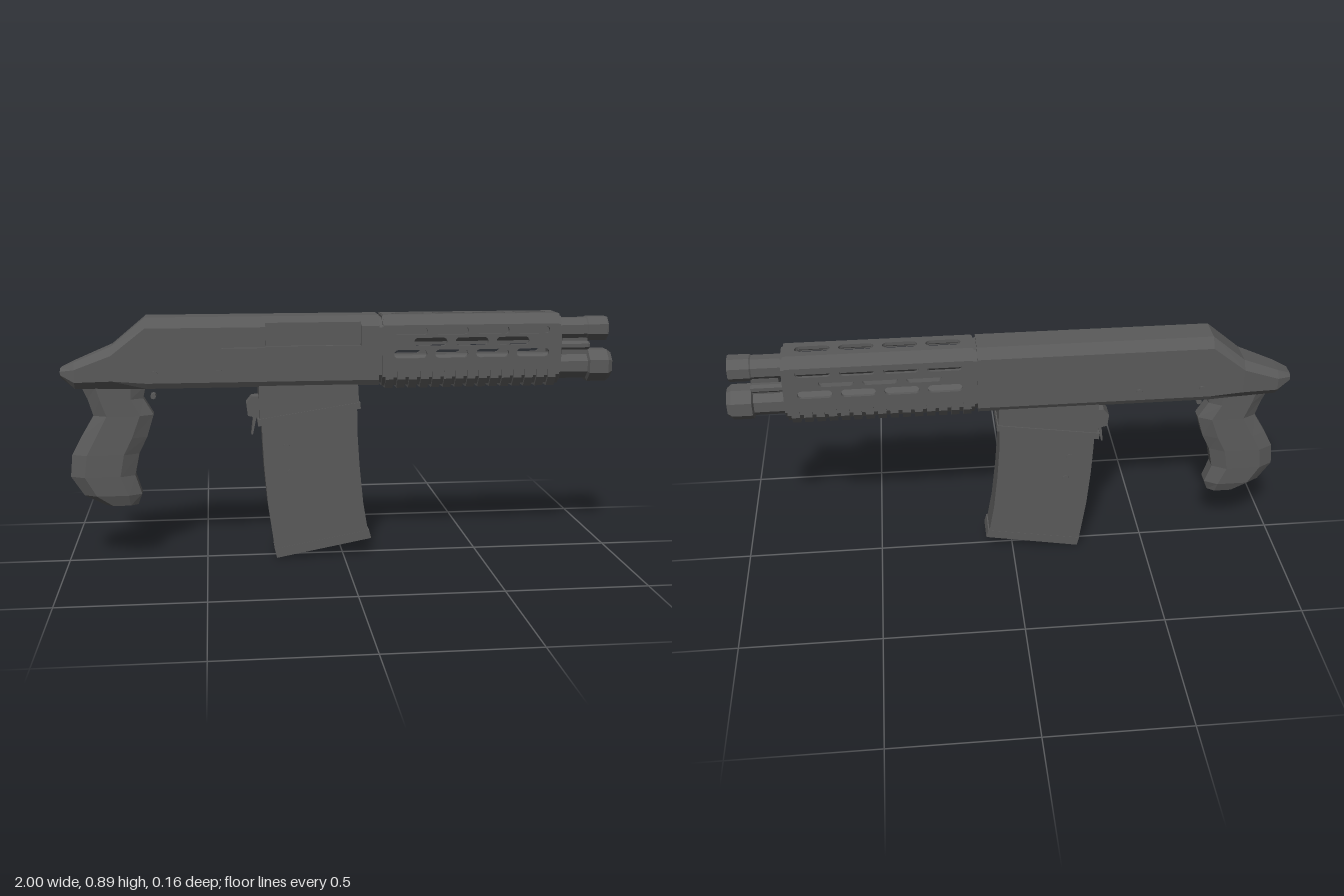
import * as THREE from 'three';

const gunmetal = new THREE.MeshStandardMaterial({ color: 0x5a5a5a, flatShading: true });
gunmetal.name = 'gunmetal';

// Closed outline from [a, b] pairs
const outline = pts => new THREE.Shape(pts.map(p => new THREE.Vector2(p[0], p[1])));

// Octagonal outline of half width w between y0 and y1, corners cut by cz and cy
const oct = (w, y0, y1, cz, cy) => [
  [w, y0 + cy], [w, y1 - cy], [w - cz, y1], [cz - w, y1],
  [-w, y1 - cy], [-w, y0 + cy], [cz - w, y0], [w - cz, y0]];

// Solid with a [-z, y] profile, running along x
function prism(pts, x0, x1) {
  const g = new THREE.ExtrudeGeometry(outline(pts), { depth: x1 - x0, bevelEnabled: false });
  return g.rotateY(Math.PI / 2).translate(x0, 0, 0);
}

// Solid with an [x, y] outline, running from z0 to z1
function slab(shape, z0, z1) {
  const s = Array.isArray(shape) ? outline(shape) : shape;
  return new THREE.ExtrudeGeometry(s, { depth: z1 - z0, bevelEnabled: false, curveSegments: 4 }).translate(0, 0, z0);
}

// Skin through equal rings of Vector3, capped, with faces turned outwards
function loft(rings) {
  const tris = [], n = rings[0].length;
  for (let i = 0; i < rings.length - 1; i++) for (let j = 0; j < n; j++) {
    const k = (j + 1) % n, a = rings[i], b = rings[i + 1];
    tris.push([a[j], a[k], b[k]], [a[j], b[k], b[j]]);
  }
  const last = rings[rings.length - 1];
  for (let j = 1; j < n - 1; j++) {
    tris.push([rings[0][0], rings[0][j + 1], rings[0][j]], [last[0], last[j], last[j + 1]]);
  }
  const c = new THREE.Vector3();
  rings.flat().forEach(p => c.addScaledVector(p, 1 / (n * rings.length)));
  let volume = 0;
  for (const [p, q, r] of tris) {
    volume += p.clone().sub(c).dot(q.clone().sub(c).cross(r.clone().sub(c)));
  }
  const pts = tris.flatMap(t => volume < 0 ? [t[0], t[2], t[1]] : t);
  const g = new THREE.BufferGeometry().setFromPoints(pts);
  g.computeVertexNormals();
  return g;
}

// Eight-sided turned part along x from [radius, x] pairs
function turned(profile, y, z = 0) {
  const g = new THREE.LatheGeometry(profile.map(p => new THREE.Vector2(p[0], p[1])), 8);
  return g.rotateY(Math.PI / 8).rotateZ(-Math.PI / 2).translate(0, y, z);
}

// Round-ended hole
function slot(x0, x1, y0, y1) {
  const r = (y1 - y0) / 2, y = (y0 + y1) / 2, p = new THREE.Path();
  p.moveTo(x0 + r, y0);
  p.lineTo(x1 - r, y0);
  p.absarc(x1 - r, y, r, -Math.PI / 2, Math.PI / 2, false);
  p.lineTo(x0 + r, y1);
  p.absarc(x0 + r, y, r, Math.PI / 2, Math.PI * 1.5, false);
  return p;
}

const rect = (x0, x1, y0, y1) => [[x0, y0], [x1, y0], [x1, y1], [x0, y1]];

export function createModel() {
  const model = new THREE.Group();
  const add = (name, geometry, parent = model) => {
    const m = new THREE.Mesh(geometry, gunmetal);
    m.name = name;
    parent.add(m);
    return m;
  };
  const group = name => {
    const g = new THREE.Group();
    g.name = name;
    model.add(g);
    return g;
  };
  const pin = (name, x, y, r, halfLength, parent) =>
    add(name, new THREE.CylinderGeometry(r, r, halfLength * 2, 8).rotateX(Math.PI / 2).translate(x, y, 0), parent);

  // Receiver: tapered tail, then straight lengths with a handle slot and an open port on +z
  const receiver = group('receiver');
  const body = oct(0.072, 0.64, 0.89, 0.024, 0.036);
  body[0][1] = body[5][1] = 0.66;
  body[6][0] = -0.06;
  body[7][0] = 0.06;
  const notched = (y0, y1, depth, outerTop) => [
    ...body.slice(0, 4), ...(outerTop < 0.072 ? [] : [body[4]]),
    [-outerTop, y1], [-depth, y1], [-depth, y0], [-0.072, y0], ...body.slice(5)];
  const tail = [
    [-1, 0.68, 0.712, 0.035, 0.012, 0.01],
    [-0.95, 0.64, 0.735, 0.058, 0.02, 0.025],
    [-0.82, 0.64, 0.79, 0.072, 0.024, 0.03]
  ].map(([x, y0, y1, w, cz, cy]) => oct(w, y0, y1, cz, cy).map(p => new THREE.Vector3(x, p[1], -p[0])));
  tail.push(body.map(p => new THREE.Vector3(-0.7, p[1], -p[0])));
  add('receiverTail', loft(tail), receiver);
  add('receiverRear', prism(body, -0.7, -0.435), receiver);
  add('handleSlotSection', prism(notched(0.78, 0.81, 0.05, 0.072), -0.435, -0.28), receiver);
  add('portSection', prism(notched(0.785, 0.868, 0.056, 0.0625), -0.28, 0.06), receiver);
  add('receiverFront', prism(body, 0.06, 0.125), receiver);
  for (const x of [-0.67, -0.445]) pin('receiverPin', x, 0.695, 0.011, 0.079, receiver);
  pin('triggerStub', -0.68, 0.605, 0.01, 0.02);

  // Pistol grip from horizontal sections: y, back, front, half width
  const grip = [
    [0.645, -0.93, -0.705, 0.045], [0.6, -0.91, -0.715, 0.045], [0.54, -0.892, -0.68, 0.045],
    [0.46, -0.94, -0.705, 0.048], [0.4, -0.972, -0.735, 0.05], [0.32, -0.98, -0.752, 0.05],
    [0.25, -0.935, -0.73, 0.048], [0.21, -0.86, -0.745, 0.034]
  ].map(([y, back, front, w]) => [[1, 0.45], [0.55, 1], [-0.55, 1], [-1, 0.45], [-1, -0.45], [-0.55, -1], [0.55, -1], [1, -0.45]]
    .map(([a, b]) => new THREE.Vector3((back + front) / 2 + a * (front - back) / 2, y, b * w)));
  add('grip', loft(grip));

  // Magazine well, slanted lip and release catch
  const well = group('magazineWell');
  add('wellBody', slab([[-0.305, 0.65], [-0.305, 0.502], [0.055, 0.558], [0.05, 0.65]], -0.062, 0.062), well);
  add('wellLip', slab([[-0.312, 0.522], [-0.31, 0.497], [0.06, 0.555], [0.058, 0.578]], -0.066, 0.066), well);
  add('releaseCatch', slab([[-0.3, 0.6], [-0.33, 0.6], [-0.35, 0.575], [-0.345, 0.53], [-0.3, 0.52]], -0.03, 0.03), well);
  add('releaseLever', slab([[-0.325, 0.53], [-0.333, 0.46], [-0.327, 0.46], [-0.312, 0.53]], -0.02, 0.02), well);

  // Curved magazine with floor plate
  const magazine = group('magazine');
  add('magazineBody', slab([
    [-0.295, 0.56], [-0.295, 0.46], [-0.289, 0.34], [-0.277, 0.2], [-0.252, 0.02],
    [0.092, 0.08], [0.072, 0.2], [0.058, 0.34], [0.05, 0.46], [0.048, 0.6]], -0.05, 0.05), magazine);
  add('floorPlate', slab([[-0.255, 0.035], [-0.247, 0], [0.102, 0.065], [0.094, 0.096]], -0.051, 0.051), magazine);
  for (const [x, y] of [[-0.215, 0.505], [-0.208, 0.415], [-0.195, 0.32]]) {
    pin('magazineRivet', x, y, 0.013, 0.053, magazine);
  }

  // Handguard: slotted plates around a hollow, ribbed underneath
  const handguard = group('handguard');
  const collar = oct(0.075, 0.635, 0.888, 0.028, 0.036);
  add('rearCollar', prism(oct(0.068, 0.645, 0.88, 0.024, 0.032), 0.12, 0.138), handguard);
  add('rearEnd', prism(collar, 0.136, 0.15), handguard);
  add('frontEnd', prism(collar, 0.77, 0.785), handguard);
  add('frontRim', prism(oct(0.066, 0.645, 0.878, 0.024, 0.032), 0.785, 0.793), handguard);
  const long = [0.178, 0.327, 0.476, 0.625], short = [0.25, 0.4, 0.55];
  const sideShape = outline(rect(0.14, 0.78, 0.69, 0.855));
  for (const x of long) {
    sideShape.holes.push(slot(x, x + 0.12, 0.82, 0.846), slot(x, x + 0.12, 0.736, 0.766));
  }
  for (const x of short) sideShape.holes.push(slot(x, x + 0.12, 0.78, 0.809));
  add('sidePlate', slab(sideShape, 0.063, 0.075), handguard);
  add('sidePlate', slab(sideShape, -0.075, -0.063), handguard);
  const topShape = outline(rect(0.14, 0.78, -0.047, 0.047));
  for (const x of long) topShape.holes.push(slot(x, x + 0.12, -0.018, 0.018));
  add('topPlate', slab(topShape, 0, 0.012).rotateX(-Math.PI / 2).translate(0, 0.878, 0), handguard);
  for (const s of [1, -1]) {
    const strip = [[0.047, 0.89], [0.075, 0.855], [0.063, 0.85], [0.044, 0.878]].map(p => [p[0] * s, p[1]]);
    add('cornerStrip', prism(strip, 0.14, 0.78), handguard);
  }
  add('lowerCore', prism([[0.068, 0.7], [-0.068, 0.7], [-0.068, 0.667], [-0.045, 0.636], [0.045, 0.636], [0.068, 0.667]], 0.14, 0.78), handguard);
  const rib = [[0.075, 0.7], [-0.075, 0.7], [-0.075, 0.66], [-0.05, 0.626], [0.05, 0.626], [0.075, 0.66]];
  for (let i = 0; i < 15; i++) {
    const x = 0.148 + i * 0.0425;
    add('gripRib', prism(rib, x, x + 0.029), handguard);
  }

  // Hollow barrel, lower tube with domed cap, and the clamp with its two rods
  add('barrel', turned([[0.043, 0.13], [0.043, 0.895], [0.047, 0.9], [0.047, 0.97], [0.045, 0.975],
    [0.035, 0.975], [0.033, 0.965], [0.033, 0.8], [0, 0.8]], 0.828));
  add('lowerTube', turned([[0.05, 0.13], [0.05, 0.9], [0.063, 0.905], [0.063, 0.975], [0.05, 0.992], [0, 1]], 0.693));
  const clamp = group('barrelClamp');
  add('clampBlock', new THREE.BoxGeometry(0.095, 0.06, 0.05).translate(0.855, 0.765, 0), clamp);
  for (const z of [0.043, -0.043]) {
    add('clampRod', turned([[0, 0.78], [0.017, 0.78], [0.017, 0.895], [0.013, 0.902], [0, 0.902]], 0.771, z), clamp);
  }
  return model;
}
